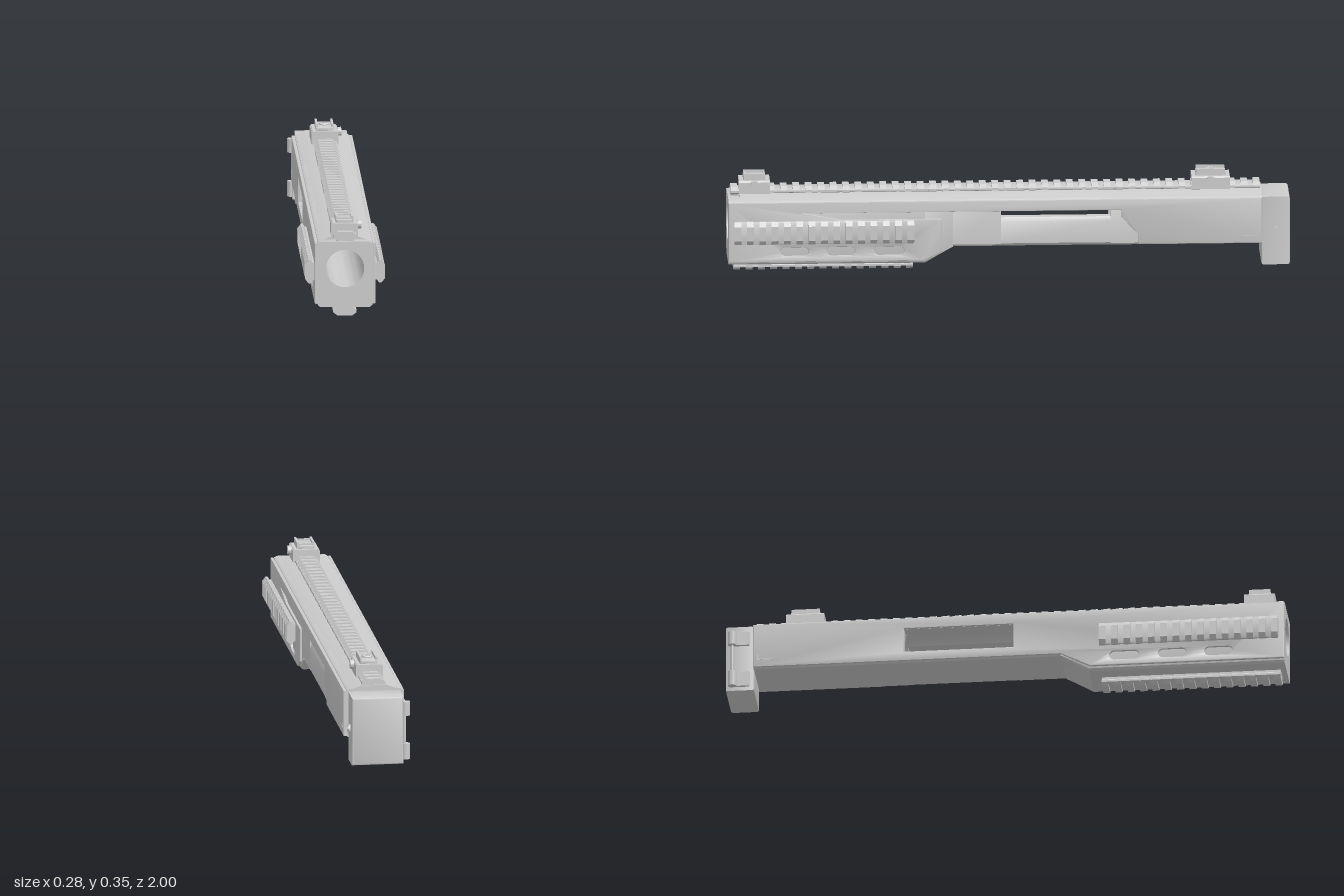
import * as THREE from 'three';
import { mergeGeometries, toCreasedNormals } from 'three/addons/utils/BufferGeometryUtils.js';

const BORE_Y = 0.175, BORE_R = 0.068;

export function createModel() {
  const group = new THREE.Group();
  const mat = new THREE.MeshStandardMaterial({ color: 0xcccccc, side: THREE.DoubleSide });

  const add = (name, geo, parent = group) => {
    const mesh = new THREE.Mesh(toCreasedNormals(geo, 0.5), mat);
    mesh.name = name;
    parent.add(mesh);
    return mesh;
  };
  const poly = (pts) => new THREE.Shape(pts.map(([x, y]) => new THREE.Vector2(x, y)));
  // cross-section in x/y, swept from z0 to z1
  const section = (shape, z0, z1) =>
    new THREE.ExtrudeGeometry(shape, { depth: z1 - z0, bevelEnabled: false, curveSegments: 24 }).translate(0, 0, z0);
  const box = (x0, x1, y0, y1, z0, z1) =>
    new THREE.BoxGeometry(x1 - x0, y1 - y0, z1 - z0).translate((x0 + x1) / 2, (y0 + y1) / 2, (z0 + z1) / 2);
  // box with bevelled edges
  const softBox = (x0, x1, y0, y1, z0, z1, b = 0.006) =>
    new THREE.ExtrudeGeometry(poly([[x0, y0], [x1, y0], [x1, y1], [x0, y1]]), {
      depth: z1 - z0 - 2 * b, bevelSize: b, bevelOffset: -b, bevelThickness: b, bevelSegments: 2,
    }).translate(0, 0, z0 + b);

  // Core: hollow body sections
  const bored = (pts) => {
    const s = poly(pts);
    s.holes.push(new THREE.Path().absarc(0, BORE_Y, BORE_R, 0, Math.PI * 2, true));
    return s;
  };
  const topEdge = [[0.1, 0.258], [0.096, 0.267], [0.086, 0.272], [-0.086, 0.272], [-0.096, 0.267], [-0.1, 0.258]];
  const frontProfile = bored([[-0.1, 0.052], [-0.097, 0.042], [-0.088, 0.035], [0.088, 0.035], [0.097, 0.042], [0.1, 0.052], ...topEdge]);
  const rearProfile = bored([[-0.1, 0.103], [-0.094, 0.096], [0.094, 0.096], [0.1, 0.103], ...topEdge]);
  add('foreBody', section(frontProfile, 0.3, 1));

  // sloped belly between the deep front and the shallow rear
  const slope = section(frontProfile, 0.2, 0.3);
  const p = slope.attributes.position;
  for (let i = 0; i < p.count; i++) if (p.getZ(i) < 0.25) p.setY(i, Math.max(p.getY(i), 0.096));
  add('bellySlope', slope);
  add('midBody', section(rearProfile, 0.03, 0.2));
  add('rearBody', section(rearProfile, -0.9, -0.36));

  // window section: open trough below, bridge above
  const trough = poly([[-0.1, 0.103], [-0.094, 0.096], [0.092, 0.096], [0.1, 0.106], [0.1, 0.185], [0.092, 0.2], [0.063, 0.2]]);
  trough.absarc(0, BORE_Y, BORE_R, 0.377, -2.513, true);
  trough.lineTo(-0.1, 0.135);
  add('windowTrough', section(trough, -0.36, 0.03));
  const bridge = poly([[-0.1, 0.225], [-0.046, 0.225]]);
  bridge.absarc(0, BORE_Y, BORE_R, Math.PI - 0.826, 0.826, true);
  bridge.lineTo(0.1, 0.225);
  topEdge.forEach(([x, y]) => bridge.lineTo(x, y));
  add('windowBridge', section(bridge, -0.36, 0.03));

  // low pitched roof under the top rail
  add('roof', section(poly([[-0.1, 0.264], [0.1, 0.264], [0.045, 0.284], [-0.045, 0.284]]), -0.9, 0.96));

  // Side panels, drawn in (z, y) and swept along x
  const sidePts = (pts) => pts.map(([z, y]) => new THREE.Vector2(-z, y));
  const slot = (z0, z1) => {
    const h = new THREE.Path(), r = 0.016, y = 0.085;
    h.absarc(-z0 + r, y, r, Math.PI / 2, Math.PI * 1.5, false);
    h.absarc(-z1 - r, y, r, -Math.PI / 2, Math.PI / 2, false);
    return h;
  };
  const outline = [[1, 0.047], [0.305, 0.047], [0.2, 0.1], [-0.9, 0.1], [-0.9, 0.266], [1, 0.266]];
  const grooved = [[1, 0.047], [0.305, 0.047], [0.24, 0.08], [0.24, 0.2], [0.6, 0.2], [0.74, 0.226],
    [-0.4, 0.226], [-0.4, 0.2], [-0.46, 0.135], [-0.46, 0.1], [-0.9, 0.1], [-0.9, 0.266], [1, 0.266]];
  const panel = (name, pts, holes, x) => {
    const s = new THREE.Shape(sidePts(pts));
    s.holes.push(slot(0.815, 0.715), slot(0.65, 0.55), slot(0.48, 0.375), ...holes);
    const b = 0.004;
    add(name, new THREE.ExtrudeGeometry(s, {
      depth: 0.012 - 2 * b, bevelSize: b, bevelOffset: -b, bevelThickness: b, bevelSegments: 2, curveSegments: 8,
    }).rotateY(Math.PI / 2).translate(x + b, 0, 0));
  };
  panel('leftPanel', grooved, [], 0.097);
  panel('rightPanel', outline, [new THREE.Path(sidePts([[0.03, 0.135], [0.03, 0.225], [-0.36, 0.225], [-0.36, 0.135]]))], -0.109);

  // Slotted accessory rails: continuous base plus evenly spaced teeth
  const railBase = poly([[-0.031, -0.004], [0.031, -0.004], [0.031, 0.006], [0.041, 0.014], [0.041, 0.02], [0.037, 0.022],
    [-0.037, 0.022], [-0.041, 0.02], [-0.041, 0.014], [-0.031, 0.006]]);
  const railTooth = poly([[-0.031, 0], [0.031, 0], [0.031, 0.006], [0.042, 0.013], [0.042, 0.021], [0.026, 0.033],
    [-0.026, 0.033], [-0.042, 0.021], [-0.042, 0.013], [-0.031, 0.006]]);
  const rail = (name, x, y, turn, z0, z1, count) => {
    const parts = [section(railBase, z0, z1)];
    const width = 0.024, pitch = (z1 - z0 - width) / (count - 1);
    for (let i = 0; i < count; i++) parts.push(section(railTooth, z0 + i * pitch, z0 + i * pitch + width));
    const mesh = add(name, mergeGeometries(parts));
    mesh.position.set(x, y, 0);
    mesh.rotation.z = turn;
  };
  rail('topRail', 0, 0.273, 0, -0.895, 0.99, 43);
  rail('bottomRail', 0, 0.033, Math.PI, 0.34, 0.98, 15);
  rail('leftRail', 0.109, 0.16, -Math.PI / 2, 0.34, 0.98, 15);
  rail('rightRail', -0.109, 0.16, Math.PI / 2, 0.34, 0.98, 15);

  // Folded sights clamped on the top rail
  const sight = (name, z, half) => {
    const g = new THREE.Group();
    g.name = name;
    g.position.z = z;
    group.add(g);
    const clamp = poly([[-0.048, 0.284], [-0.04, 0.279], [0.04, 0.279], [0.048, 0.284], [0.048, 0.325], [0.043, 0.33], [-0.043, 0.33], [-0.048, 0.325]]);
    add('clamp', section(clamp, -half, half), g);
    add('foldedLeaf', softBox(-0.03, 0.03, 0.328, 0.343, -half + 0.015, half - 0.015, 0.003), g);
    for (const s of [-1, 1])
      add('ear', box(s * 0.028 - 0.004, s * 0.028 + 0.004, 0.329, 0.353, -half + 0.017, half - 0.017), g);
    add('clampScrew', new THREE.CylinderGeometry(0.016, 0.016, 0.014, 20).rotateZ(Math.PI / 2).translate(0.054, 0.317, 0), g);
    return g;
  };
  const front = sight('frontSight', 0.905, 0.055);
  for (const s of [-1, 1]) add('leafEnd', box(-0.024, 0.024, 0.34, 0.348, s * 0.034 - 0.004, s * 0.034 + 0.004), front);
  const rear = sight('rearSight', -0.72, 0.068);
  add('apertureRing', new THREE.TorusGeometry(0.015, 0.005, 8, 24).rotateX(Math.PI / 2).translate(0, 0.345, 0), rear);
  add('aperturePin', new THREE.CylinderGeometry(0.005, 0.005, 0.012, 12).translate(0, 0.346, 0), rear);

  // Hinged end block
  add('endBlock', softBox(-0.094, 0.092, 0.016, 0.265, -1, -0.898, 0.007));
  for (const [y0, y1] of [[0.03, 0.086], [0.19, 0.24]]) {
    add('hingeKnuckle', new THREE.CylinderGeometry(0.015, 0.015, y1 - y0, 20).translate(-0.105, (y0 + y1) / 2, -0.975));
    add('hingeLeaf', box(-0.104, -0.09, y0, y1, -0.98, -0.915));
  }
  add('hingePin', new THREE.CylinderGeometry(0.006, 0.006, 0.2, 12).translate(-0.1, 0.135, -0.975));
  add('blockPin', new THREE.CylinderGeometry(0.016, 0.016, 0.012, 24).rotateZ(Math.PI / 2).translate(0.093, 0.14, -0.95));
  add('blockPinCap', new THREE.CylinderGeometry(0.009, 0.009, 0.016, 20).rotateZ(Math.PI / 2).translate(0.094, 0.14, -0.95));

  // small latch marks near the rear of both sides
  for (const s of [-1, 1]) {
    add('latchBar', box(s * 0.109 - 0.001, s * 0.109 + 0.001, 0.126, 0.13, -0.885, -0.83));
    add('latchEnd', box(s * 0.109 - 0.001, s * 0.109 + 0.001, 0.126, 0.146, -0.885, -0.88));
  }
  return group;
}
